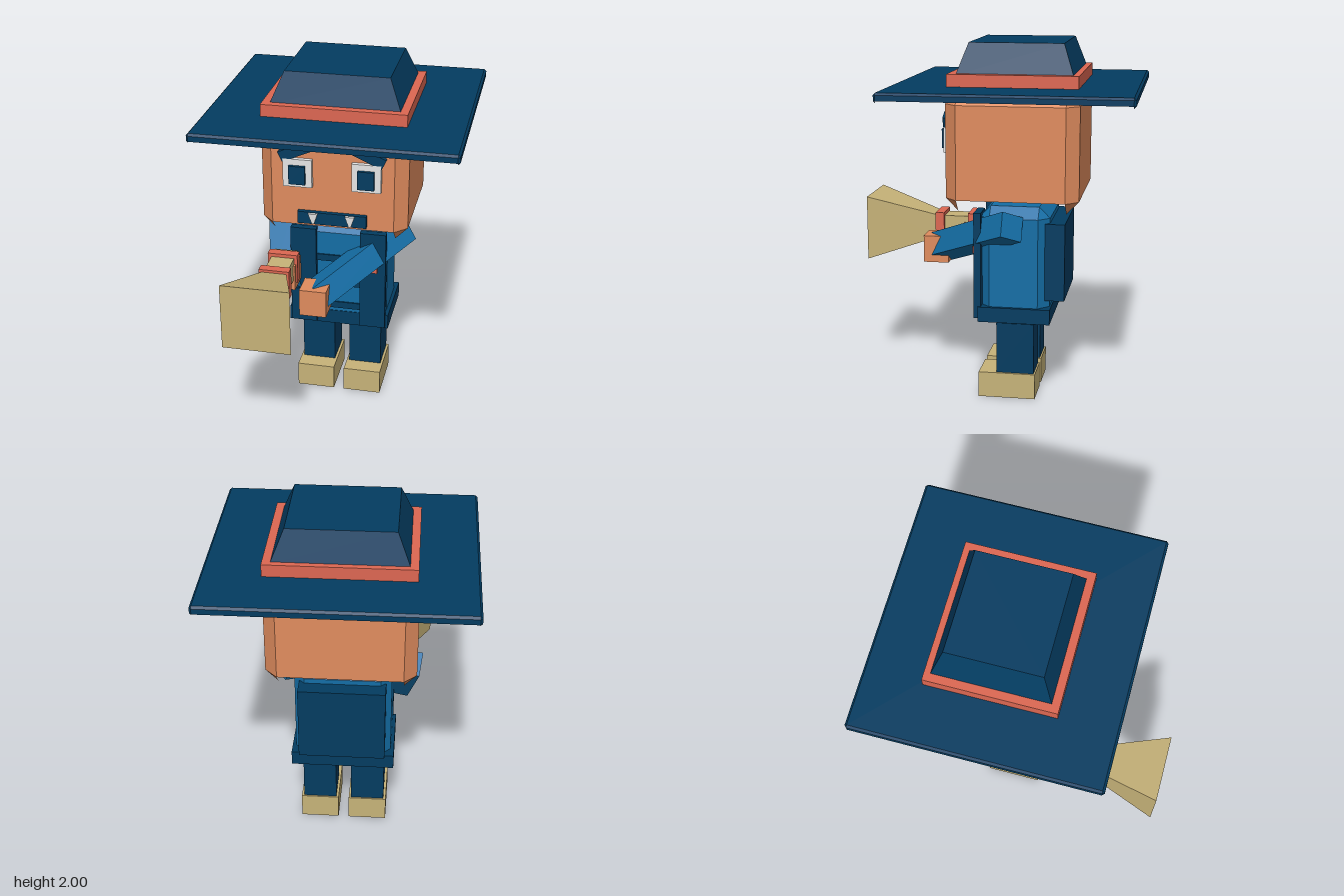
import * as THREE from 'three';

const paint = (name, color, side = THREE.FrontSide) => {
  const m = new THREE.MeshStandardMaterial({ color, side });
  m.name = name;
  return m;
};

export function createModel() {
  const model = new THREE.Group();
  const navy = paint('navy', 0x033c61, THREE.DoubleSide);
  const blue = paint('blue', 0x146ea6, THREE.DoubleSide);
  const skin = paint('skin', 0xe08c5e, THREE.DoubleSide);
  const tan = paint('tan', 0xc7b379, THREE.DoubleSide);
  const red = paint('coral', 0xdd6752);
  const white = paint('white', 0xe6e6e6);

  const add = (name, geometry, material, x = 0, y = 0, z = 0) => {
    const mesh = new THREE.Mesh(geometry, material);
    mesh.name = name;
    mesh.position.set(x, y, z);
    model.add(mesh);
    return mesh;
  };

  // Box given by its limits on each axis
  const box = (name, material, [x0, x1], [y0, y1], [z0, z1]) =>
    add(name, new THREE.BoxGeometry(x1 - x0, y1 - y0, z1 - z0), material,
      (x0 + x1) / 2, (y0 + y1) / 2, (z0 + z1) / 2);

  // Box whose top has its own width and depth
  const frustum = (w0, d0, w1, d1, h) => {
    const g = new THREE.BoxGeometry(1, h, 1).toNonIndexed();
    const p = g.attributes.position;
    for (let i = 0; i < p.count; i++) {
      const top = p.getY(i) > 0;
      p.setX(i, p.getX(i) * (top ? w1 : w0));
      p.setZ(i, p.getZ(i) * (top ? d1 : d0));
    }
    g.computeVertexNormals();
    return g;
  };

  // Chamfered hollow shell, open below, with pointed lower corners
  const shell = (hw, hd, c, yBottom, yTop) => {
    const corners = [[1, 1], [1, -1], [-1, -1], [-1, 1]];
    const ring = (y, collapsed) => corners.flatMap(([sx, sz]) => {
      const inner = [sx * (hw - c), y, sz * (hd - c)];
      if (collapsed) return [inner, inner];
      const onZ = [sx * (hw - c), y, sz * hd];
      const onX = [sx * hw, y, sz * (hd - c)];
      return sx * sz > 0 ? [onZ, onX] : [onX, onZ];
    });
    const rings = [ring(yBottom + c), ring(yTop - c), ring(yTop, true)];
    const v = [];
    for (let r = 0; r < 2; r++)
      for (let i = 0; i < 8; i++) {
        const j = (i + 1) % 8;
        const [a, b, e, f] = [rings[r][i], rings[r][j], rings[r + 1][j], rings[r + 1][i]];
        v.push(...a, ...b, ...e);
        if (r === 0 || i % 2) v.push(...a, ...e, ...f);
      }
    corners.forEach(([sx, sz], i) => v.push(...rings[0][2 * i],
      sx * (hw - c), yBottom, sz * (hd - c), ...rings[0][2 * i + 1]));
    const cap = rings[2];
    v.push(...cap[0], ...cap[2], ...cap[4], ...cap[0], ...cap[4], ...cap[6]);
    const g = new THREE.BufferGeometry();
    g.setAttribute('position', new THREE.Float32BufferAttribute(v, 3));
    g.computeVertexNormals();
    return g;
  };

  // Head and face
  add('head', shell(0.405, 0.362, 0.068, 1.097, 1.745), skin, 0, 0, -0.132);
  for (const s of [-1, 1]) {
    add('eyeWhite', new THREE.BoxGeometry(0.16, 0.16, 0.03), white, s * 0.188, 1.48, 0.24);
    add('pupil', new THREE.BoxGeometry(0.09, 0.105, 0.02), navy, s * 0.188, 1.473, 0.262);
    const brow = add('eyebrow', new THREE.BoxGeometry(0.21, 0.06, 0.03), navy, s * 0.187, 1.61, 0.24);
    brow.rotation.z = -s * 0.42;
    add('fang', frustum(0.012, 0.012, 0.052, 0.02, 0.06), white, s * 0.102, 1.222, 0.262);
  }
  box('mouth', navy, [-0.19, 0.19], [1.185, 1.255], [0.22, 0.255]);

  // Hat
  add('hatBrim', shell(0.708, 0.665, 0.012, 1.718, 1.772), navy, 0, 0, -0.139);
  box('hatBand', red, [-0.395, 0.395], [1.773, 1.84], [-0.49, 0.21]);
  add('hatCrown', frustum(0.71, 0.63, 0.57, 0.51, 0.17), navy, 0, 1.915, -0.145);

  // Torso and clothing
  add('torso', shell(0.27, 0.195, 0.06, 0.447, 1.103), blue, 0, 0, -0.13);
  box('belt', navy, [-0.29, 0.29], [0.455, 0.54], [-0.335, 0.068]);
  for (const y of [0.582, 0.73, 0.885])
    box('shirtStripe', navy, [-0.14, 0.14], [y - 0.02, y + 0.02], [0.04, 0.073]);
  for (const s of [-1, 1])
    add('vestPanel', new THREE.BoxGeometry(0.148, 0.6, 0.04), navy, s * 0.2, 0.77, 0.072);
  box('badge', red, [0.175, 0.228], [0.83, 0.89], [0.08, 0.105]);
  box('backPanel', navy, [-0.24, 0.24], [0.58, 1.015], [-0.41, -0.3]);

  // Legs, and shoes open below
  for (const s of [-1, 1]) {
    add('leg', new THREE.BoxGeometry(0.19, 0.29, 0.212), navy, s * 0.139, 0.29, -0.135);
    const shoe = new THREE.BoxGeometry(0.218, 0.145, 0.32);
    const faces = Array.from(shoe.index.array);
    faces.splice(18, 6);
    shoe.setIndex(faces);
    shoe.clearGroups();
    add('shoe', shoe, tan, s * 0.139, 0.0725, -0.09);
  }

  // Arms and hands
  const arm = (name, length, position, rotation) => {
    const mesh = add(name, new THREE.BoxGeometry(0.14, 0.14, length), blue, ...position);
    mesh.rotation.set(...rotation, 'ZYX');
  };
  arm('leftArm', 0.687, [0.129, 0.9, 0.11], [0, -Math.PI / 4, 0.5]);
  arm('rightArm', 0.42, [-0.325, 0.875, 0.02], [0.9, 0, 0.2]);
  box('leftHand', skin, [-0.145, 0.005], [0.71, 0.865], [0.29, 0.435]);
  box('rightHand', skin, [-0.365, -0.215], [0.75, 0.9], [0.1, 0.24]);

  // Horn, pointing forward
  const bell = add('hornBell', frustum(0.14, 0.14, 0.375, 0.375, 0.39), tan, -0.291, 0.872, 0.605);
  bell.rotation.x = Math.PI / 2;
  box('hornStem', tan, [-0.355, -0.225], [0.807, 0.937], [0.12, 0.42]);
  for (const z of [0.385, 0.19])
    add('hornRing', new THREE.BoxGeometry(0.17, 0.17, 0.052), red, -0.291, 0.872, z);

  return model;
}
